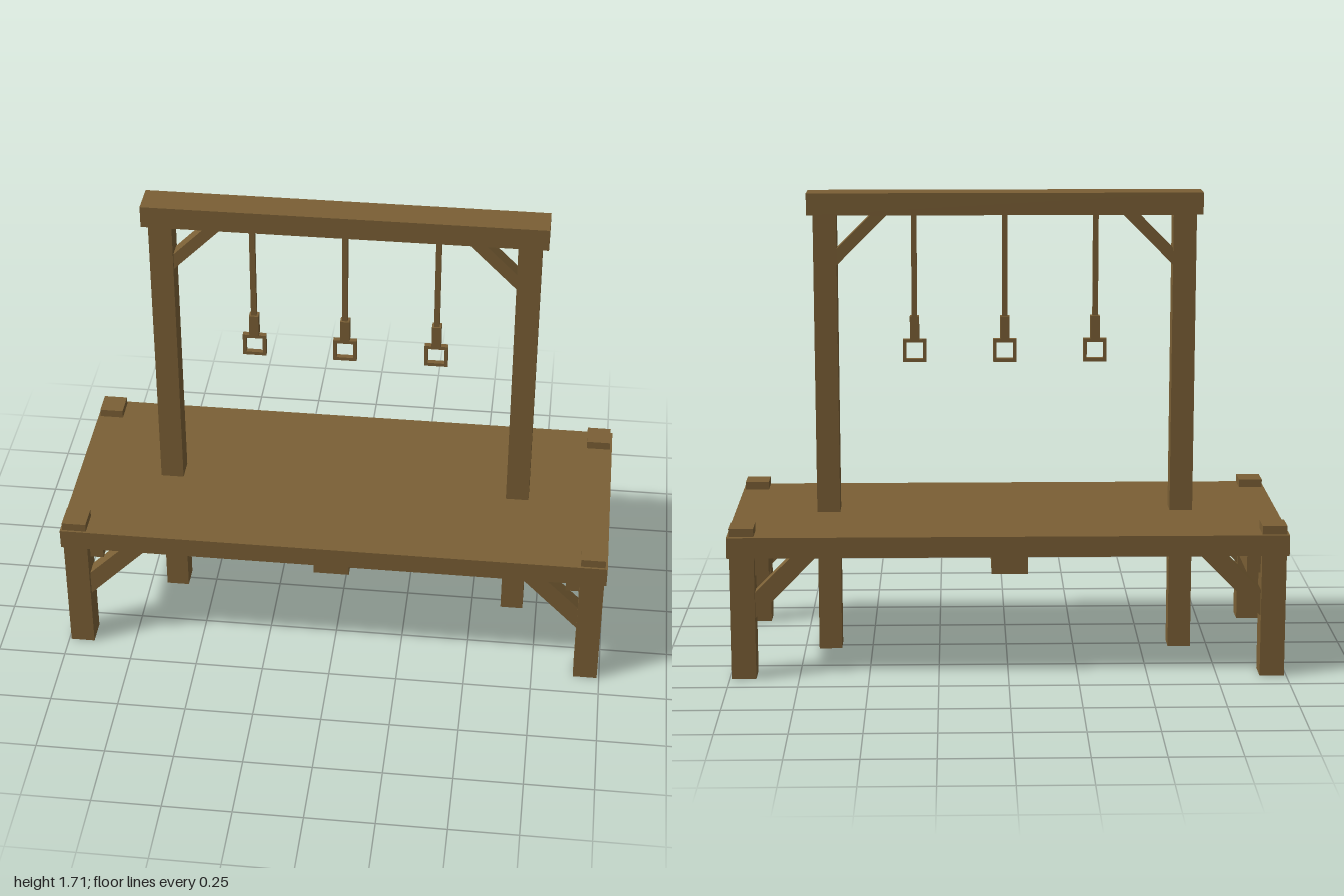
import * as THREE from 'three';

export function createModel() {
  const model = new THREE.Group();
  const wood = new THREE.MeshStandardMaterial({ color: 0x7a5f35 });
  wood.name = 'brown wood';

  function add(name, geometry, parent = model) {
    const mesh = new THREE.Mesh(geometry, wood);
    mesh.name = name;
    parent.add(mesh);
    return mesh;
  }

  // Box given by its limits on each axis
  function box(name, [x0, x1], [y0, y1], [z0, z1], parent) {
    const g = new THREE.BoxGeometry(x1 - x0, y1 - y0, z1 - z0);
    g.translate((x0 + x1) / 2, (y0 + y1) / 2, (z0 + z1) / 2);
    return add(name, g, parent);
  }

  // Flat outline, with an optional hole, extruded evenly about z
  function plate(name, points, hole, depth, z, parent) {
    const toVectors = (list) => list.map(([x, y]) => new THREE.Vector2(x, y));
    const shape = new THREE.Shape(toVectors(points));
    if (hole) shape.holes.push(new THREE.Path(toVectors(hole)));
    const g = new THREE.ExtrudeGeometry(shape, { depth, bevelEnabled: false });
    g.translate(0, 0, z - depth / 2);
    return add(name, g, parent);
  }

  // Platform with cross beams underneath
  box('deck', [-1, 1], [0.45, 0.525], [-0.42, 0.42]);
  for (const x of [-0.92, -0.005, 0.92]) {
    box('crossBeam', [x - 0.065, x + 0.065], [0.375, 0.45], [-0.37, 0.37]);
  }

  for (const side of [-1, 1]) {
    // Corner legs poking through the deck, each with a diagonal brace
    for (const z of [-0.358, 0.365]) {
      const x = side * 0.948;
      box('leg', [x - 0.044, x + 0.044], [0, 0.555], [z - 0.047, z + 0.047]);
      const outline = [[0.905, 0.22], [0.905, 0.315], [0.77, 0.45], [0.68, 0.45]];
      plate('legBrace', outline.map(([px, py]) => [side * px, py]), null, 0.06, z);
    }

    // Upright posts from the ground to the top beam, with upper braces
    const postX = side * 0.651 + 0.005;
    box('post', [postX - 0.042, postX + 0.042], [0, 1.625], [-0.042, 0.042]);
    const outline = [[0.61, 1.44], [0.61, 1.5], [0.485, 1.625], [0.425, 1.625]];
    plate('postBrace', outline.map(([px, py]) => [side * px + 0.005, py]), null, 0.06, 0);
  }

  box('topBeam', [-0.71, 0.72], [1.625, 1.705], [-0.06, 0.06]);

  // Three hanging ropes, each with a knot and a square loop
  const square = (r) => [[-r, 1.1225 - r], [r, 1.1225 - r], [r, 1.1225 + r], [-r, 1.1225 + r]];
  for (const x of [-0.325, 0.005, 0.335]) {
    const rope = new THREE.Group();
    rope.name = 'hangingRope';
    rope.position.x = x;
    box('cord', [-0.01, 0.01], [1.25, 1.625], [-0.01, 0.01], rope);
    box('knot', [-0.017, 0.017], [1.165, 1.25], [-0.017, 0.017], rope);
    plate('loop', square(0.0425), square(0.03), 0.02, 0, rope);
    model.add(rope);
  }

  return model;
}
